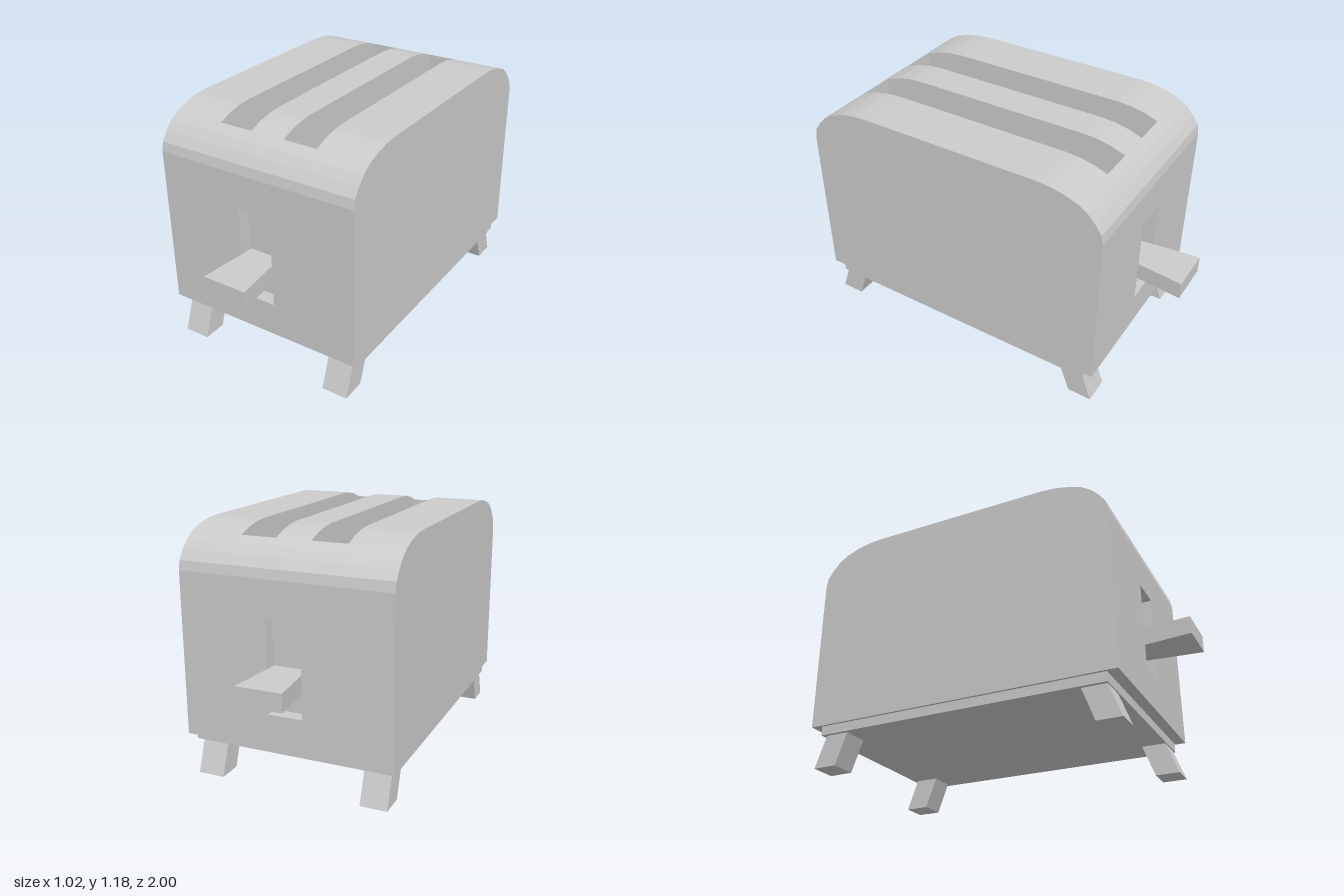
import * as THREE from 'three';

const mat = new THREE.MeshStandardMaterial({ color: 0xcccccc, flatShading: true, side: THREE.DoubleSide });

// body dimensions
const W = 0.51, BOTTOM = 0.2, FRONT = 0.775;
const SLOT_IN = 0.085, SLOT_OUT = 0.255, SLOT_Z = 0.655, SLOT_FLOOR = 0.4;
const REC_LOW = 0.365, REC_HIGH = 0.81, REC_Z = 0.71;

// rounded shoulder as [z, y], from the front face up to the flat top
const shoulder = [[0.775, 0.98], [0.766, 1.025], [0.735, 1.07], [0.7, 1.107], [SLOT_Z, 1.137],
  [0.59, 1.16], [0.52, 1.175], [0.45, 1.18]];
const mirrored = (half) => [...half, ...half.map(([z, y]) => [-z, y]).reverse()];

function add(group, name, geometry) {
  const mesh = new THREE.Mesh(geometry, mat);
  mesh.name = name;
  group.add(mesh);
  return mesh;
}

// closed band that sweeps a [z, y] profile from x0 to x1, without end caps
function band(profile, x0, x1) {
  const pos = [];
  profile.forEach(([z, y], i) => {
    const [z2, y2] = profile[(i + 1) % profile.length];
    pos.push(x0, y, z, x1, y, z, x1, y2, z2, x0, y, z, x1, y2, z2, x0, y2, z2);
  });
  const g = new THREE.BufferGeometry();
  g.setAttribute('position', new THREE.Float32BufferAttribute(pos, 3));
  g.computeVertexNormals();
  return g;
}

// flat wall of a [z, y] outline standing at x
function wall(profile, x) {
  const shape = new THREE.Shape(profile.map(([z, y]) => new THREE.Vector2(z, y)));
  const g = new THREE.ShapeGeometry(shape).rotateY(-Math.PI / 2);
  if (x > 0) g.rotateY(Math.PI); // outlines are symmetric in z
  return g.translate(x, 0, 0);
}

// box whose top or front corners are moved by a rule
function shapedBox(w, h, d, rule) {
  const g = new THREE.BoxGeometry(w, h, d);
  const p = g.attributes.position, v = new THREE.Vector3();
  for (let i = 0; i < p.count; i++) {
    rule(v.fromBufferAttribute(p, i));
    p.setXYZ(i, v.x, v.y, v.z);
  }
  g.computeVertexNormals();
  return g;
}

export function createModel() {
  const model = new THREE.Group();
  model.name = 'toaster';

  // body: side bands, slot bands and a centre band with the lever recesses
  const body = new THREE.Group();
  body.name = 'body';
  model.add(body);
  const full = mirrored([[FRONT, BOTTOM], ...shoulder]);
  const notched = mirrored([[FRONT, BOTTOM], ...shoulder.slice(0, 5), [SLOT_Z, SLOT_FLOOR]]);
  const centre = mirrored([[FRONT, BOTTOM], [FRONT, REC_LOW], [REC_Z, REC_LOW], [REC_Z, REC_HIGH],
    [FRONT, REC_HIGH], ...shoulder]);
  const slotSide = mirrored([[SLOT_Z, SLOT_FLOOR], ...shoulder.slice(4)]);

  add(body, 'centreShell', band(centre, -SLOT_IN, SLOT_IN));
  for (const s of [-1, 1]) {
    const range = (a, b) => (s > 0 ? [a, b] : [-b, -a]);
    add(body, 'sideShell', band(full, ...range(SLOT_OUT, W)));
    add(body, 'slotShell', band(notched, ...range(SLOT_IN, SLOT_OUT)));
    add(body, 'sidePanel', wall(full, s * W));
    add(body, 'slotInnerWall', wall(slotSide, s * SLOT_IN));
    add(body, 'slotOuterWall', wall(slotSide, s * SLOT_OUT));
    // recess side walls, front and back
    for (const f of [-1, 1]) {
      const g = new THREE.PlaneGeometry(FRONT - REC_Z, REC_HIGH - REC_LOW).rotateY(-s * Math.PI / 2);
      add(body, 'recessWall', g).position.set(s * SLOT_IN, (REC_LOW + REC_HIGH) / 2, f * (FRONT + REC_Z) / 2);
    }
  }

  // base plate
  add(model, 'basePlate', new THREE.BoxGeometry(0.996, 0.045, 1.445)).position.y = 0.1775;

  // levers, widening outwards
  for (const f of [-1, 1]) {
    const lever = shapedBox(0.16, 0.085, 1 - REC_Z, (v) => { if (v.z > 0) v.x *= 0.111 / 0.08; });
    const mesh = add(model, f > 0 ? 'frontLever' : 'backLever', lever);
    mesh.position.set(0, 0.5325, f * (1 + REC_Z) / 2);
    if (f < 0) mesh.rotation.y = Math.PI;
  }

  // splayed legs
  for (const f of [-1, 1]) {
    for (const s of [-1, 1]) {
      const leg = shapedBox(0.13, 0.157, 0.118, (v) => { if (v.y < 0) v.z += f * 0.058; });
      add(model, f > 0 ? 'frontLeg' : 'backLeg', leg).position.set(s * 0.411 - 0.004, 0.0785, f * 0.65 + 0.007);
    }
  }
  return model;
}
